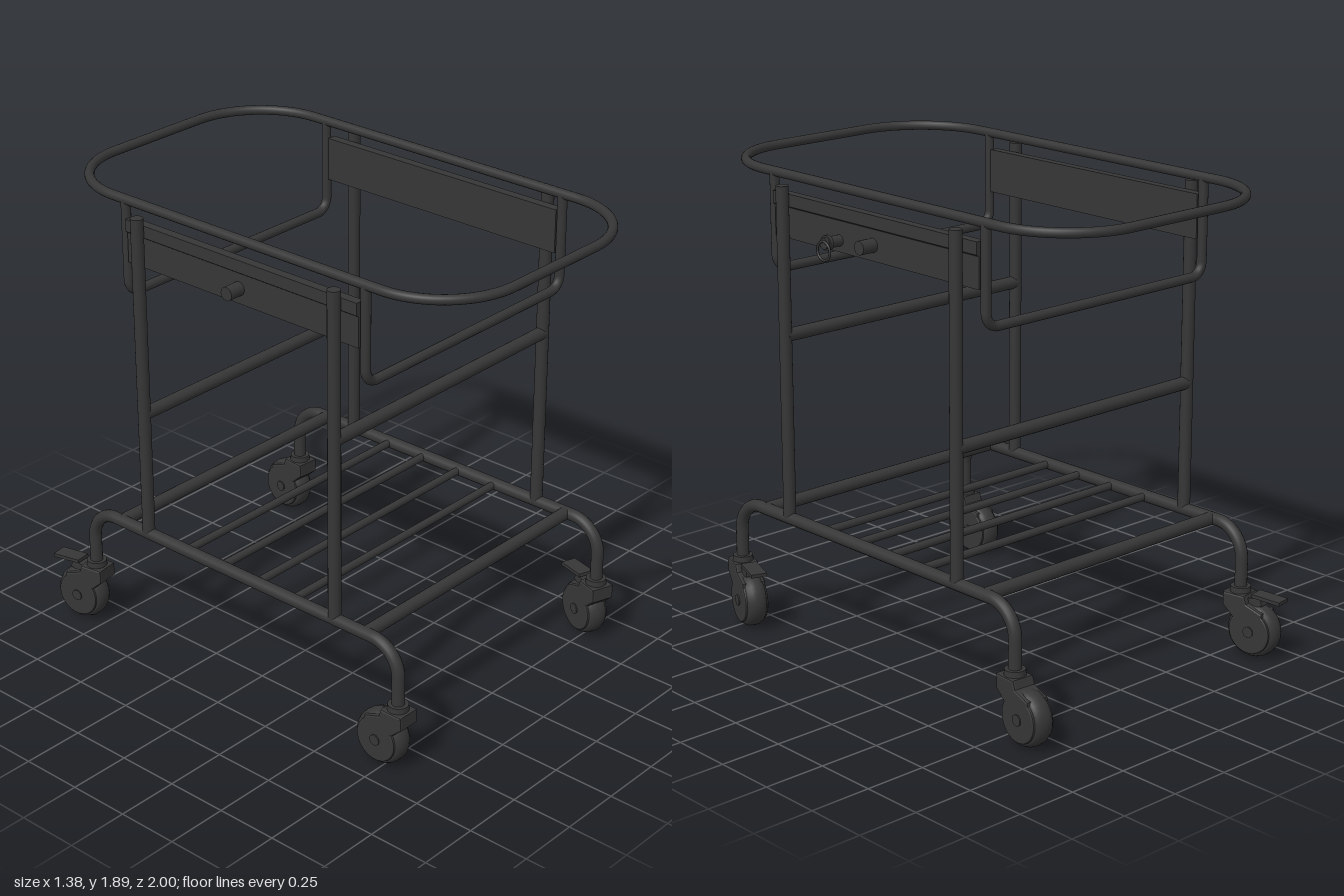
import * as THREE from 'three';

const dark = new THREE.MeshStandardMaterial({ color: 0x363636 });
const V = (x, y, z) => new THREE.Vector3(x, y, z);

function add(parent, name, geometry, x = 0, y = 0, z = 0) {
  const mesh = new THREE.Mesh(geometry, dark);
  mesh.name = name;
  mesh.position.set(x, y, z);
  parent.add(mesh);
  return mesh;
}

// Polyline through points with circular-looking bends of the given radius
function bentPath(points, radius, closed = false) {
  const path = new THREE.CurvePath();
  const n = points.length;
  const corners = points.map((p, i) => {
    if (!closed && (i === 0 || i === n - 1)) return { a: p, b: p };
    const toward = (q) => q.clone().sub(p).normalize().multiplyScalar(radius).add(p);
    return { a: toward(points[(i + n - 1) % n]), b: toward(points[(i + 1) % n]), p };
  });
  corners.forEach((c, i) => {
    if (c.p) {
      path.add(new THREE.CubicBezierCurve3(c.a, c.a.clone().lerp(c.p, 0.5523), c.b.clone().lerp(c.p, 0.5523), c.b));
    }
    if (closed || i < n - 1) path.add(new THREE.LineCurve3(c.b, corners[(i + 1) % n].a));
  });
  return path;
}

const tube = (path, r, closed = false, segments = 140) =>
  new THREE.TubeGeometry(path, segments, r, 14, closed);

const rodX = (r, length) => new THREE.CylinderGeometry(r, r, length, 16).rotateZ(Math.PI / 2);

// Swivel caster: stem on the local y axis, wheel trailing towards -z, turned by yaw
function caster(yaw, braked) {
  const g = new THREE.Group();
  g.name = braked ? 'brakedCaster' : 'caster';
  g.rotation.y = Math.PI / 2 - yaw;

  add(g, 'casterCap', new THREE.CylinderGeometry(0.04, 0.044, 0.075, 20), 0, 0.2375, 0);

  // Hood with round cheeks over the wheel
  const hood = new THREE.Shape();
  hood.moveTo(-0.045, 0.245);
  hood.lineTo(0.04, 0.245);
  hood.lineTo(0.05, 0.215);
  hood.lineTo(0.12, 0.19);
  hood.absarc(0.07, 0.11, 0.084, 0.9, -3.75, true);
  hood.lineTo(-0.045, 0.2);
  hood.closePath();
  const hoodGeo = new THREE.ExtrudeGeometry(hood, {
    depth: 0.078, bevelSize: 0.007, bevelThickness: 0.01, bevelSegments: 2, curveSegments: 24,
  }).translate(0, 0, -0.039);
  add(g, 'casterHood', hoodGeo);

  // Tyre with a rounded tread
  const tread = [[0.02, -0.042], [0.088, -0.042], [0.1, -0.034], [0.108, -0.018], [0.11, 0],
    [0.108, 0.018], [0.1, 0.034], [0.088, 0.042], [0.02, 0.042]].map((p) => new THREE.Vector2(...p));
  add(g, 'wheel', new THREE.LatheGeometry(tread, 32).rotateX(Math.PI / 2), 0.07, 0.11, 0);
  add(g, 'axle', new THREE.CylinderGeometry(0.022, 0.022, 0.108, 18).rotateX(Math.PI / 2), 0.07, 0.11, 0);

  if (braked) {
    add(g, 'brakeArm', new THREE.BoxGeometry(0.08, 0.035, 0.05), 0.07, 0.225, 0).rotation.z = 0.25;
    add(g, 'brakePedal', new THREE.BoxGeometry(0.125, 0.014, 0.065), 0.132, 0.252, 0).rotation.z = -0.05;
  }
  return g;
}

export function createModel() {
  const model = new THREE.Group();
  model.name = 'bassinetTrolley';
  const frame = new THREE.Group();
  frame.name = 'trolleyFrame';
  frame.position.x = -0.012;
  model.add(frame);

  const sideX = 0.605, rimX = 0.557, postZ = 0.485, legZ = 0.795, baseY = 0.51;

  // Oval basket rim
  const rim = [V(-rimX, 1.867, -0.98), V(-rimX, 1.867, 0.98), V(rimX, 1.867, 0.98), V(rimX, 1.867, -0.98)];
  add(frame, 'basketRim', tube(bentPath(rim, 0.325, true), 0.019, true, 240));

  // U-shaped hangers under the rim
  for (const z of [-0.59, 0.59]) {
    const u = [V(-rimX, 1.867, z), V(-rimX, 1.487, z), V(rimX, 1.487, z), V(rimX, 1.867, z)];
    add(frame, 'basketHanger', tube(bentPath(u, 0.055), 0.019));
  }

  // Panel section: flat web with a raised strip along the top
  const section = new THREE.Shape([[0.545, 1.625], [0.573, 1.625], [0.573, 1.745], [0.583, 1.752],
    [0.583, 1.8], [0.545, 1.8]].map((p) => new THREE.Vector2(...p)));

  for (const s of [-1, 1]) {
    // Base tube with both legs
    const base = [V(s * sideX, 0.25, legZ), V(s * sideX, baseY, legZ),
      V(s * sideX, baseY, -legZ), V(s * sideX, 0.25, -legZ)];
    add(frame, 'baseTube', tube(bentPath(base, 0.125), 0.025));

    for (const z of [-postZ, postZ]) {
      add(frame, 'post', new THREE.CylinderGeometry(0.025, 0.025, 1.325, 18), s * sideX, 1.1725, z);
    }

    const panel = new THREE.ExtrudeGeometry(section, { depth: 1.14, bevelEnabled: false }).translate(0, 0, -0.57);
    add(frame, 'sidePanel', panel).rotation.y = s > 0 ? 0 : Math.PI;
    add(frame, 'tiltPivot', rodX(0.027, 0.08), s * 0.6, 1.685, 0);
  }

  // Tilt lock plunger with pull ring
  add(frame, 'lockPlunger', rodX(0.022, 0.08), 0.61, 1.67, 0.19);
  add(frame, 'lockCollar', rodX(0.03, 0.014), 0.632, 1.67, 0.19);
  add(frame, 'pullRing', new THREE.TorusGeometry(0.036, 0.005, 8, 28).rotateY(Math.PI / 2), 0.65, 1.642, 0.19);

  // Cross bars: base ends, front brace, rear brace
  const width = 2 * sideX;
  for (const [y, z] of [[baseY, 0.635], [baseY, -0.635], [1.25, postZ], [1.03, -postZ]]) {
    add(frame, 'crossBar', rodX(0.026, width), 0, y, z);
  }

  // Shelf rods
  for (let i = 0; i < 4; i++) add(frame, 'shelfRod', rodX(0.016, width), 0, baseY, -0.28 + i * 0.185);

  // Casters: two diagonal ones carry brakes
  for (const [sx, sz, yaw, braked] of [[1, 1, 0.33, true], [-1, 1, 0, false], [1, -1, 0.07, false], [-1, -1, -0.16, true]]) {
    const c = caster(yaw, braked);
    c.position.set(sx * sideX, 0, sz * legZ);
    frame.add(c);
  }
  return model;
}
